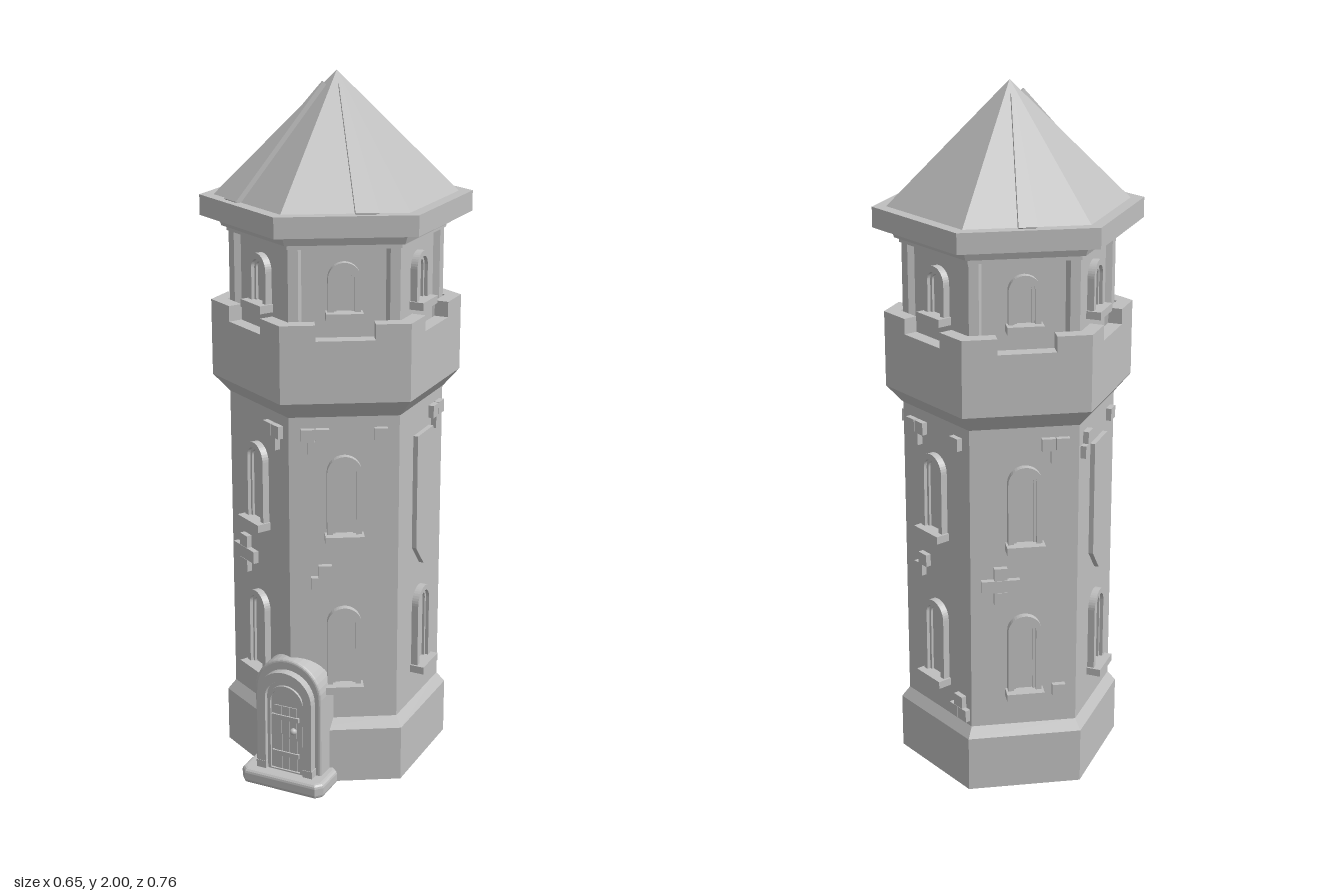
import * as THREE from 'three';

const stone = new THREE.MeshStandardMaterial({ color: 0xbfbfbf });
stone.name = 'stone';

function add(parent, name, geometry, x = 0, y = 0, z = 0) {
  const m = new THREE.Mesh(geometry, stone);
  m.name = name;
  m.position.set(x, y, z);
  parent.add(m);
  return m;
}

// Hexagonal tier with crisp faces and a corner pointing to the front
function hex(parent, name, rBottom, rTop, y0, y1, x = 0, z = 0) {
  const g = new THREE.CylinderGeometry(rTop, rBottom, y1 - y0, 6).toNonIndexed();
  g.computeVertexNormals();
  return add(parent, name, g, x, (y0 + y1) / 2, z);
}

const box = (parent, name, w, h, d, x, y, z) =>
  add(parent, name, new THREE.BoxGeometry(w, h, d), x, y, z);

function extrude(shape, depth, bevel = 0) {
  return new THREE.ExtrudeGeometry(shape, {
    depth, curveSegments: 10, bevelEnabled: bevel > 0,
    bevelSize: bevel, bevelThickness: bevel, bevelOffset: -bevel, bevelSegments: 3,
  });
}

function polygon(points) {
  return new THREE.Shape(points.map(([x, y]) => new THREE.Vector2(x, y)));
}

// Round-headed outline
function arch(half, bottom, top, Type = THREE.Shape) {
  const s = new Type();
  s.moveTo(-half, bottom);
  s.lineTo(half, bottom);
  s.lineTo(half, top - half);
  s.absarc(0, top - half, half, 0, Math.PI, false);
  s.lineTo(-half, bottom);
  return s;
}

// Arched band with an open middle
function archRing(outer, inner, bottom, top, depth) {
  const s = arch(outer, bottom, top);
  s.holes.push(arch(inner, bottom + 0.004, top - (outer - inner), THREE.Path));
  return extrude(s, depth);
}

function addWindow(side, bottom, top, half) {
  const w = new THREE.Group();
  w.name = 'window';
  add(w, 'windowFrame', archRing(half, half - 0.016, bottom, top, 0.022), 0, 0, -0.002);
  add(w, 'innerFrame', archRing(half - 0.015, half - 0.024, bottom, top - 0.015, 0.012), 0, 0, -0.002);
  add(w, 'windowPane', extrude(arch(half - 0.02, bottom, top - 0.02), 0.005), 0, 0, -0.002);
  box(w, 'windowSill', half * 2 + 0.012, 0.022, 0.044, 0, bottom, 0.02);
  side.add(w);
}

// Brick positions [across, up] on a wall
const plus = [[0, 0], [0.036, 0], [-0.036, 0], [0, 0.037], [0, -0.037]]
  .map(([u, y]) => [u - 0.068, y + 0.64]);
const bricksA = [[-0.1, 1.055], [-0.06, 1.055], [-0.083, 1.02], [0.1, 1.055], [-0.053, 0.655], [-0.074, 0.62]];
const bricksB = [[0.065, 1.055], [0.105, 1.055], [0.09, 1.02], ...plus];
const bannerBricks = [[0.07, 1.055], [0.11, 1.055], [0.09, 1.02]];
const low = [[0.108, 0.265], [0.087, 0.228], [0.126, 0.228]];
const bricks = [bricksA, bannerBricks, [...bricksA, ...low], [...bricksB, [0.1, 0.3]],
  [[-0.1, 1.055], [-0.12, 1.02], [0.1, 1.055]], bricksB];

// Tapered batten lying on one roof slope
function addRib(roof, angle, offset, width) {
  const run = 0.293, rise = 0.333, slope = Math.hypot(run, rise);
  const s = polygon([[offset - width / 2, -slope - 0.008], [offset + width / 2, -slope - 0.008],
    [offset * 0.08 + 0.003, -0.05], [offset * 0.08 - 0.003, -0.05]]);
  const pivot = new THREE.Group();
  pivot.name = 'roofRib';
  pivot.position.y = 2;
  pivot.rotation.y = angle;
  const rib = add(pivot, 'ribStrip', extrude(s, 0.022), 0, 0, 0);
  rib.rotation.x = -Math.atan2(run, rise);
  rib.translateZ(-0.008);
  roof.add(pivot);
}

function addDoor(parent) {
  const door = new THREE.Group();
  door.name = 'doorway';
  // Rounded doorstep
  const step = polygon([[-0.1, 0.24], [0.1, 0.24], [0.13, 0.27], [0.13, 0.36],
    [0.112, 0.38], [-0.112, 0.38], [-0.13, 0.36], [-0.13, 0.27]]);
  const stepMesh = add(door, 'doorStep', extrude(step, 0.021, 0.012), 0, 0.033, 0);
  stepMesh.rotation.x = Math.PI / 2;
  // Surround, inner arch and door leaf
  add(door, 'doorSurround', extrude(arch(0.105, 0.03, 0.39), 0.108, 0.008), 0, 0, 0.207);
  add(door, 'doorArch', archRing(0.086, 0.06, 0.04, 0.36, 0.045), 0, 0, 0.303);
  add(door, 'doorLeaf', extrude(arch(0.061, 0.04, 0.33), 0.031), 0, 0, 0.303);
  add(door, 'doorTrim', archRing(0.056, 0.047, 0.045, 0.315, 0.008), 0, 0, 0.333);
  for (const x of [-0.024, 0, 0.024])
    box(door, 'doorPlank', 0.022, 0.2, 0.004, x, 0.15, 0.335);
  for (const y of [0.1, 0.215])
    box(door, 'doorHinge', 0.085, 0.014, 0.007, 0, y, 0.338);
  add(door, 'doorKnob', new THREE.SphereGeometry(0.01, 12, 8), 0.027, 0.18, 0.343);
  for (const s of [-1, 1])
    box(door, 'archFoot', 0.03, 0.025, 0.045, s * 0.074, 0.055, 0.327);
  parent.add(door);
}

export function createModel() {
  const tower = new THREE.Group();
  tower.name = 'tower';

  // Stacked tiers
  hex(tower, 'plinth', 0.327, 0.327, 0, 0.165);
  hex(tower, 'plinthSlope', 0.327, 0.303, 0.165, 0.195);
  hex(tower, 'shaft', 0.303, 0.303, 0.19, 1.11);
  hex(tower, 'parapetFlare', 0.305, 0.351, 1.105, 1.155);
  hex(tower, 'parapetFloor', 0.351, 0.351, 1.155, 1.3);
  hex(tower, 'upperRoom', 0.28, 0.28, 1.29, 1.6);
  hex(tower, 'roomCornice', 0.305, 0.305, 1.567, 1.582);
  hex(tower, 'eaveSupport', 0.318, 0.332, 1.58, 1.612);
  hex(tower, 'eave', 0.377, 0.377, 1.61, 1.667);

  // Six walls and corners
  const shaftApothem = 0.303 * Math.cos(Math.PI / 6);
  const roomApothem = 0.28 * Math.cos(Math.PI / 6);
  const parapetApothem = 0.351 * Math.cos(Math.PI / 6);
  const merlons = polygon([[-0.1755, 1.295], [0.1755, 1.295], [0.1755, 1.372], [0.08, 1.372],
    [0.08, 1.328], [-0.08, 1.328], [-0.08, 1.372], [-0.1755, 1.372]]);
  const banner = polygon([[-0.055, 1.015], [-0.055, 0.68], [0, 0.615], [0.055, 0.68], [0.055, 1.015]]);
  for (let i = 0; i < 6; i++) {
    const side = new THREE.Group();
    side.name = 'wallSide';
    side.rotation.y = Math.PI / 6 + i * Math.PI / 3;
    tower.add(side);

    const wall = new THREE.Group();
    wall.name = 'shaftDetails';
    wall.position.z = shaftApothem;
    side.add(wall);
    addWindow(wall, 0.3, 0.545, 0.048);
    if (i % 3 === 1) add(wall, 'banner', extrude(banner, 0.016), 0, 0, -0.002);
    else addWindow(wall, 0.757, 0.995, 0.048);
    for (const [u, y] of bricks[i])
      box(wall, 'raisedBrick', 0.037, 0.036, 0.032, u, y, 0);

    const room = new THREE.Group();
    room.name = 'roomDetails';
    room.position.z = roomApothem;
    side.add(room);
    addWindow(room, 1.385, 1.53, 0.044);

    add(side, 'battlement', extrude(merlons, 0.04), 0, 0, parapetApothem - 0.04);

    const a = i * Math.PI / 3;
    hex(tower, 'cornerPost', 0.027, 0.027, 1.29, 1.575, 0.272 * Math.sin(a), 0.272 * Math.cos(a));
  }

  // Roof with battens
  const roof = new THREE.Group();
  roof.name = 'roof';
  hex(roof, 'roofCone', 0.338, 0, 1.667, 2);
  addRib(roof, Math.PI / 6, 0.056, 0.062);
  addRib(roof, -Math.PI / 6, -0.056, 0.062);
  addRib(roof, Math.PI * 7 / 6, 0, 0.05);
  tower.add(roof);

  addDoor(tower);
  tower.position.z = -0.002;
  const model = new THREE.Group();
  model.name = 'hexagonalTower';
  model.add(tower);
  return model;
}
